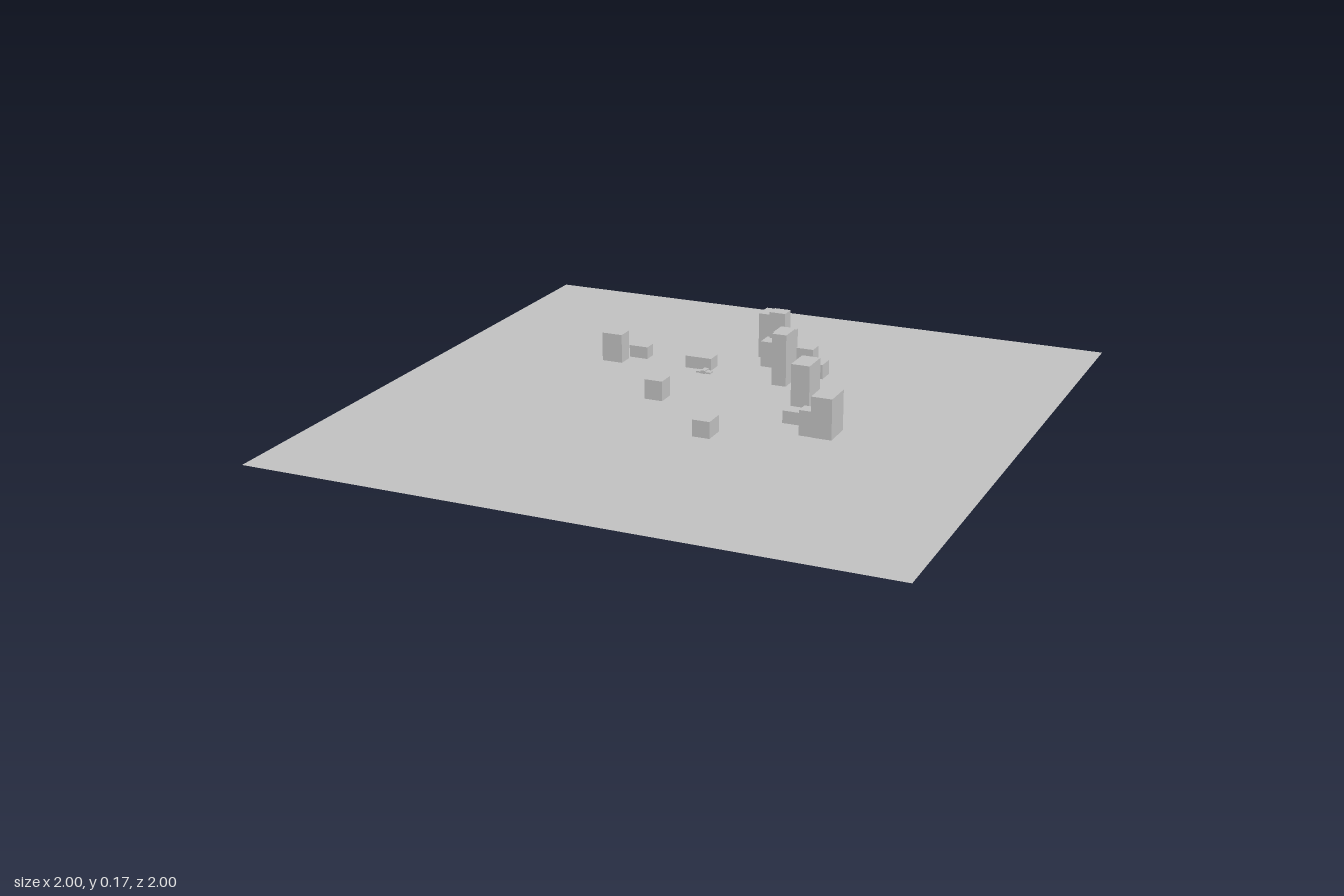
import * as THREE from 'three';

export function createModel() {
  const group = new THREE.Group();
  const grey = new THREE.MeshStandardMaterial({ color: 0xc0c0c0, side: THREE.DoubleSide });
  grey.name = 'light grey';

  const add = (name, geometry, x, y, z) => {
    const mesh = new THREE.Mesh(geometry, grey);
    mesh.name = name;
    mesh.position.set(x, y, z);
    group.add(mesh);
    return mesh;
  };

  // Flat ground sheet
  add('ground', new THREE.PlaneGeometry(2, 2).rotateX(-Math.PI / 2), 0, 0, 0);

  // Buildings: centre x, centre z, width, depth, height
  const buildings = [
    [0, -0.535, 0.054, 0.07, 0.15],
    [0.054, -0.484, 0.054, 0.048, 0.172],
    [0.056, -0.442, 0.08, 0.058, 0.085],
    [0.115, -0.38, 0.058, 0.064, 0.145],
    [0.142, -0.295, 0.048, 0.08, 0.17],
    [0.215, -0.4, 0.063, 0.06, 0.048],
    [0.198, -0.36, 0.056, 0.048, 0.106],
    [-0.158, -0.332, 0.09, 0.054, 0.04],
    [-0.385, -0.353, 0.064, 0.043, 0.04],
    [-0.447, -0.289, 0.07, 0.054, 0.095],
    [-0.164, -0.003, 0.06, 0.058, 0.064],
    [0.302, -0.073, 0.06, 0.092, 0.16],
    [0.308, 0.034, 0.058, 0.048, 0.04],
    [0.386, 0.116, 0.046, 0.044, 0.08],
    [0.434, 0.091, 0.066, 0.098, 0.128],
    [0.106, 0.237, 0.056, 0.07, 0.053],
  ];
  buildings.forEach(([x, z, w, d, h], i) =>
    add(`building${i + 1}`, new THREE.BoxGeometry(w, h, d), x, h / 2, z));

  // Small aircraft hovering over the middle: wings, body and tapered nose
  add('aircraftWings', new THREE.BoxGeometry(0.048, 0.005, 0.022), -0.002, 0.107, 0);
  add('aircraftBody', new THREE.BoxGeometry(0.014, 0.01, 0.03), -0.002, 0.109, -0.002);
  add('aircraftNose', new THREE.ConeGeometry(0.006, 0.008, 4).rotateX(-Math.PI / 2), -0.002, 0.109, -0.021);

  return group;
}
